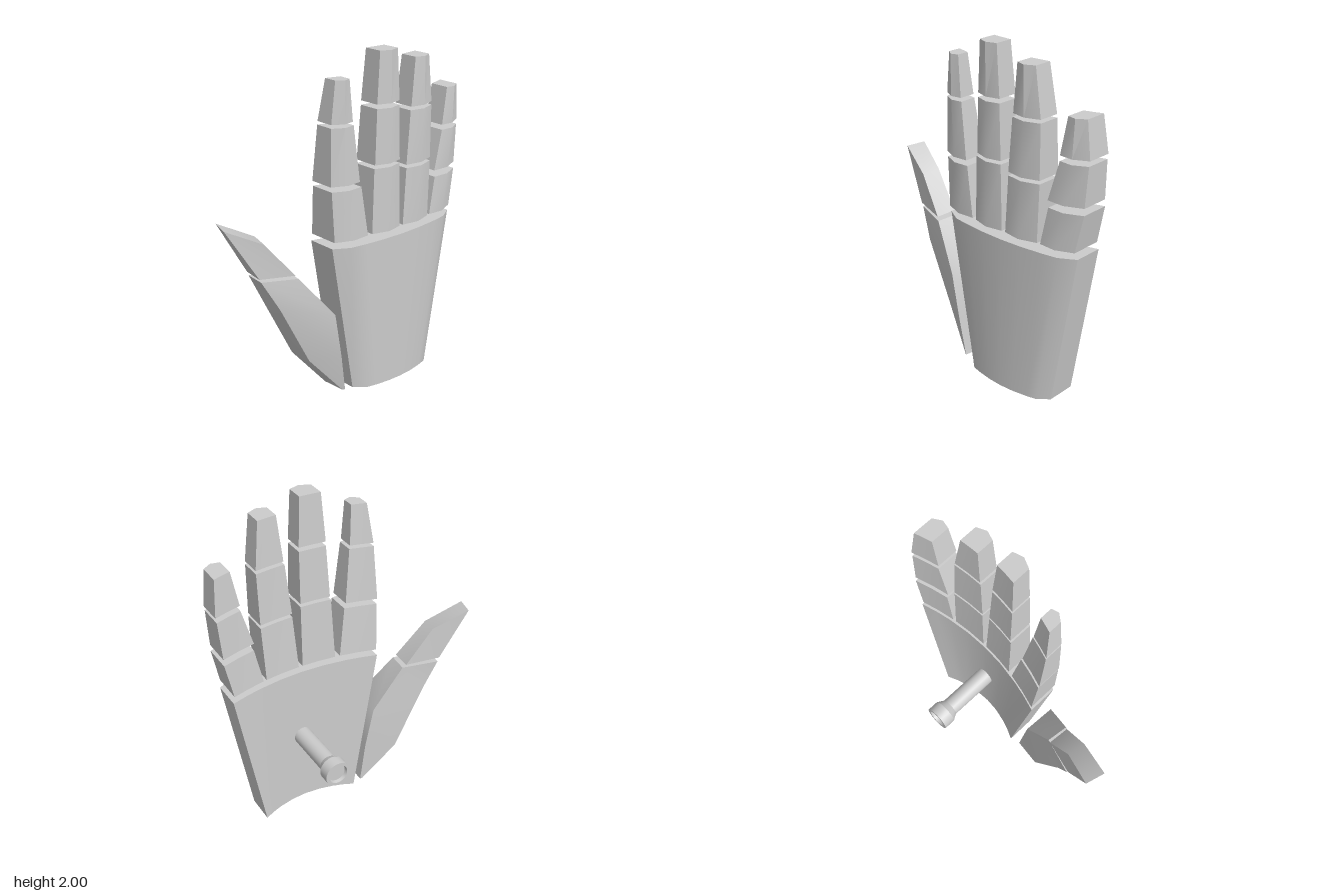
import * as THREE from 'three';
import { toCreasedNormals } from 'three/addons/utils/BufferGeometryUtils.js';

const material = new THREE.MeshStandardMaterial({ color: 0xcccccc });

// Solid through equal rings of [x, y, z]; each ring is an outer row, then the inner row backwards
function loft(rings, crease = 0.6) {
  const n = rings[0].length;
  const last = rings.length - 1;
  const points = rings.flat();
  const index = [];
  for (let r = 0; r < last; r++) {
    for (let i = 0; i < n; i++) {
      const a = r * n + i, b = r * n + (i + 1) % n;
      index.push(a, b, b + n, a, b + n, a + n);
    }
  }
  // End caps, stitched between the outer and the inner row
  for (let i = 0; i < n / 2 - 1; i++) {
    const a = i, b = i + 1, c = n - 2 - i, d = n - 1 - i, t = last * n;
    index.push(a, c, b, a, d, c);
    index.push(t + a, t + b, t + c, t + a, t + c, t + d);
  }
  // Turn the faces outward if the rings run the other way
  let volume = 0;
  const [p, q, s] = [new THREE.Vector3(), new THREE.Vector3(), new THREE.Vector3()];
  for (let i = 0; i < index.length; i += 3) {
    p.fromArray(points[index[i]]);
    q.fromArray(points[index[i + 1]]);
    s.fromArray(points[index[i + 2]]);
    volume += p.dot(q.cross(s));
  }
  if (volume < 0) index.reverse();
  const geometry = new THREE.BufferGeometry();
  geometry.setAttribute('position', new THREE.Float32BufferAttribute(points.flat(), 3));
  geometry.setIndex(index);
  return toCreasedNormals(geometry, crease);
}

function addPart(parent, name, geometry) {
  const mesh = new THREE.Mesh(geometry, material);
  mesh.name = name;
  parent.add(mesh);
  return mesh;
}

// Back and inner surface of the cupped hand
const backX = (z) => 0.3 - 0.25 * (z + 0.27) ** 2;
const innerX = (z) => 0.11 - 0.35 * (z + 0.27) ** 2;

// Curved plate with bevelled long edges, narrowing to the wrist
function palmRing(y, zFront, zBack) {
  const steps = [0, 0.1, 0.2, 0.35, 0.5, 0.65, 0.8, 0.9, 1];
  const outer = [], inner = [];
  for (const t of steps) {
    const z = THREE.MathUtils.lerp(zFront, zBack, t);
    const shapeZ = THREE.MathUtils.lerp(0.2, -0.73, t);
    const bevel = t === 0 || t === 1 ? 0.035 : 0;
    outer.push([backX(shapeZ) - bevel, y, z]);
    inner.unshift([innerX(shapeZ), y, z]);
  }
  return [...outer, ...inner];
}

// Finger section with a ridge along the back
function fingerRing(y, zFront, zBack, taper) {
  const zs = [zFront, (zFront + zBack) / 2, zBack];
  const lift = taper * (y - 0.97);
  const outer = zs.map((z, i) => [backX(z) - (i === 1 ? 0 : 0.022) - lift * 0.1, y, z]);
  const inner = zs.map((z) => [innerX(z) + lift, y, z]).reverse();
  return [...outer, ...inner];
}

// Per segment: bottom y, front z, back z, then top y, front z, back z
const fingers = [
  { name: 'indexFinger', taper: 0.11, segments: [
    [0.97, 0.195, -0.02, 1.265, 0.21, 0.025],
    [1.295, 0.215, 0.035, 1.62, 0.21, 0.075],
    [1.64, 0.21, 0.08, 1.875, 0.185, 0.1]] },
  { name: 'middleFinger', taper: 0.055, segments: [
    [0.97, -0.05, -0.255, 1.35, -0.06, -0.245],
    [1.37, -0.065, -0.245, 1.685, -0.075, -0.235],
    [1.71, -0.075, -0.235, 2, -0.09, -0.215]] },
  { name: 'ringFinger', taper: 0.06, segments: [
    [0.97, -0.28, -0.495, 1.305, -0.3, -0.505],
    [1.325, -0.3, -0.505, 1.635, -0.325, -0.505],
    [1.655, -0.33, -0.505, 1.93, -0.355, -0.47]] },
  { name: 'littleFinger', taper: 0.08, segments: [
    [0.97, -0.515, -0.72, 1.19, -0.56, -0.765],
    [1.23, -0.555, -0.765, 1.46, -0.62, -0.78],
    [1.49, -0.62, -0.785, 1.705, -0.66, -0.765]] },
];

export function createModel() {
  const hand = new THREE.Group();
  hand.name = 'hand';

  addPart(hand, 'palm', loft([palmRing(0, 0.04, -0.57), palmRing(0.93, 0.2, -0.73)]));

  // Four fingers of three segments
  for (const { name, taper, segments } of fingers) {
    const finger = new THREE.Group();
    finger.name = name;
    segments.forEach(([y0, f0, b0, y1, f1, b1], i) => {
      const rings = [fingerRing(y0, f0, b0, taper), fingerRing(y1, f1, b1, taper)];
      addPart(finger, ['baseSegment', 'middleSegment', 'tipSegment'][i], loft(rings));
    });
    hand.add(finger);
  }

  // Thumb of two segments, leaning forward and inward
  const thumb = new THREE.Group();
  thumb.name = 'thumb';
  addPart(thumb, 'baseSegment', loft([
    [[0.21, 0.01, 0.1], [0.2, 0.01, 0.115], [0.05, 0, 0.115], [0.05, 0, 0.1]],
    [[0.222, 0.25, 0.14], [0.13, 0.24, 0.305], [-0.02, 0.24, 0.31], [0.05, 0.25, 0.135]],
    [[0.225, 0.53, 0.19], [0.11, 0.62, 0.495], [-0.03, 0.62, 0.5], [0.03, 0.53, 0.18]],
    [[0.14, 0.785, 0.385], [0.07, 0.8, 0.59], [-0.055, 0.8, 0.58], [0.01, 0.79, 0.37]],
  ], 0.7));
  addPart(thumb, 'tipSegment', loft([
    [[0.13, 0.805, 0.4], [0.07, 0.82, 0.6], [-0.055, 0.825, 0.59], [0, 0.81, 0.39]],
    [[0.08, 1.02, 0.57], [0.01, 1.13, 0.78], [-0.105, 1.135, 0.75], [-0.03, 1.03, 0.55]],
  ], 0.7));
  hand.add(thumb);

  // Flared peg standing out of the palm, with a shallow recess in its end
  const profile = [
    [0, 0], [0.055, 0], [0.055, 0.32], [0.078, 0.36], [0.078, 0.43], [0.06, 0.43], [0.055, 0.41], [0, 0.41],
  ].map(([r, h]) => new THREE.Vector2(r, h));
  const peg = addPart(hand, 'peg', toCreasedNormals(new THREE.LatheGeometry(profile, 24), 0.5));
  peg.rotation.z = Math.PI / 2;
  peg.position.set(0.12, 0.47, -0.27);

  return hand;
}
